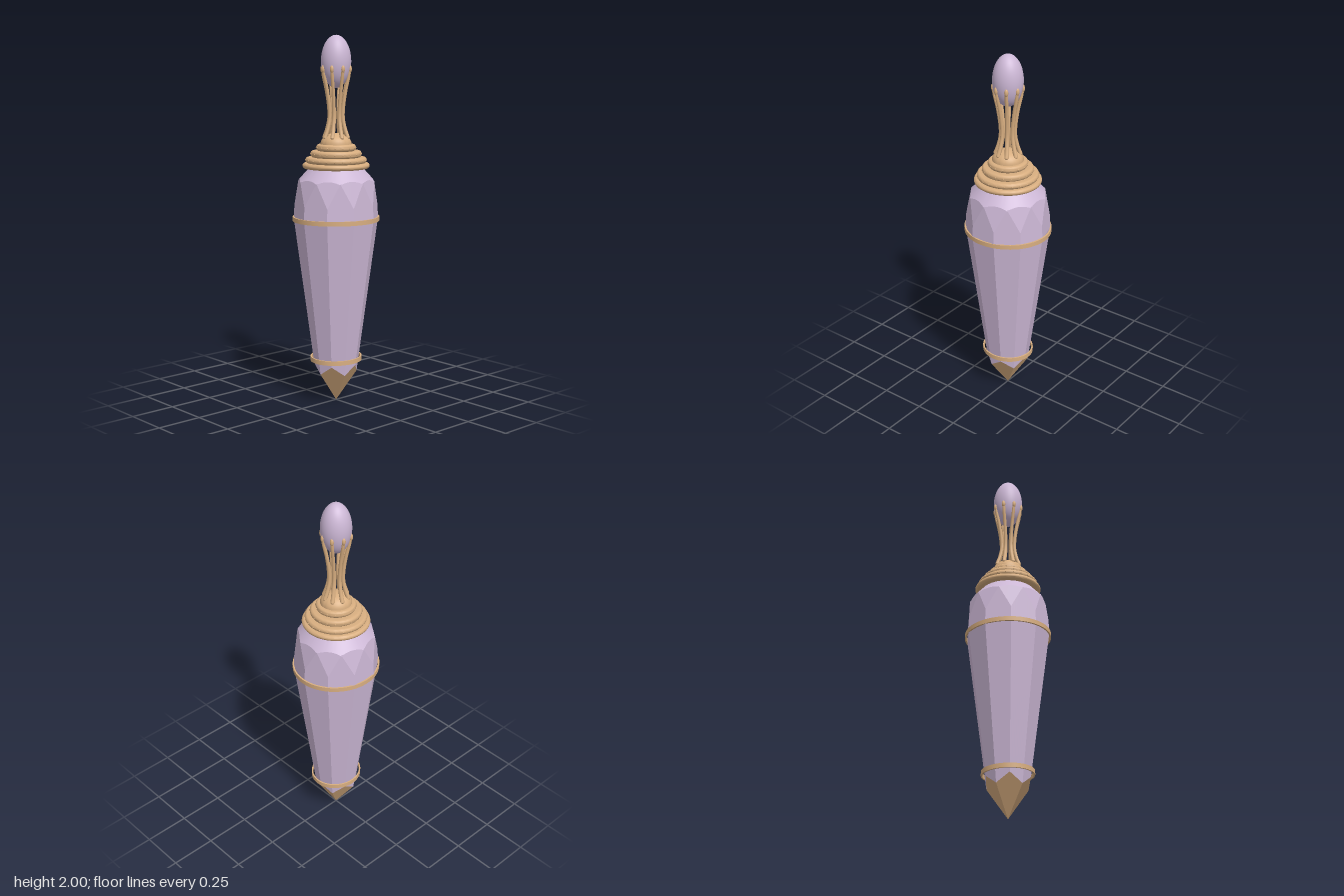
import * as THREE from 'three';
import { toCreasedNormals } from 'three/addons/utils/BufferGeometryUtils.js';

const crystal = new THREE.MeshStandardMaterial({ color: 0xcdb8d6 });
crystal.name = 'lilac crystal';
const gold = new THREE.MeshStandardMaterial({ color: 0xd8ae80 });
gold.name = 'pale gold';

const TAU = Math.PI * 2;

function add(parent, name, geometry, material) {
  const mesh = new THREE.Mesh(geometry, material);
  mesh.name = name;
  parent.add(mesh);
  return mesh;
}

// Radius of a regular polygon with a corner at angle 0 and circumradius 1
function polygon(angle, sides) {
  const step = TAU / sides;
  const a = ((angle % step) + step) % step;
  return Math.cos(step / 2) / Math.cos(a - step / 2);
}

// Skin around the y axis; rowsAt(angle) lists [radius, y] from bottom to top
function skin(rowsAt, segments = 100) {
  const positions = [];
  const index = [];
  let count = 0;
  for (let i = 0; i <= segments; i++) {
    const angle = (i % segments) / segments * TAU;
    const rows = rowsAt(angle);
    count = rows.length;
    for (const [r, y] of rows) positions.push(r * Math.sin(angle), y, r * Math.cos(angle));
  }
  for (let i = 0; i < segments; i++) {
    for (let j = 0; j < count - 1; j++) {
      const a = i * count + j;
      const b = a + count;
      index.push(a, b, b + 1, a, b + 1, a + 1);
    }
  }
  const geometry = new THREE.BufferGeometry();
  geometry.setAttribute('position', new THREE.Float32BufferAttribute(positions, 3));
  geometry.setIndex(index);
  return toCreasedNormals(geometry, 0.14);
}

// Height where the five-sided tip meets the ten-sided body
function tipHeight(angle) {
  const d = polygon(angle, 10);
  return 0.0923 * d / (0.7 * polygon(angle, 5) - 0.135 * d);
}

function tipRows(angle) {
  const y = tipHeight(angle);
  return [[0, 0], [0.7 * y * polygon(angle, 5), y]];
}

// Tapered decagon, then kite facets, then a cone that cuts them into arches
function bodyRows(angle) {
  const d = polygon(angle, 10);
  const c = Math.cos(Math.PI / 10) / polygon(angle + Math.PI / 10, 10);
  const crown = 1 / (Math.cos(Math.PI / 10) / polygon(angle + Math.PI / 10, 10));
  const k = crown / Math.cos(Math.PI / 10) * c * c / (c * c) * Math.cos(Math.PI / 10);
  const q = k / polygon(Math.PI / 10, 10);
  const y0 = tipHeight(angle);
  const t1 = Math.max(0, 0.23 * (q - d) / (0.2 * q - 0.05 * d));
  const t2 = (0.39 - 0.23 * q) / (0.9 - 0.2 * q);
  return [
    [d * (0.0923 + 0.135 * y0), y0],
    [d * 0.23, 1.02],
    [d * (0.23 - 0.05 * t1), 1.02 + t1],
    [q * (0.23 - 0.2 * t2), 1.02 + t2],
    [0.147, 1.29],
  ];
}

// Thin flat band, slightly narrower across x
function band(parent, name, rx, rz, y, thick, height) {
  const profile = [
    [rz - thick, -height / 2], [rz, -height / 2], [rz, height / 2],
    [rz - thick, height / 2], [rz - thick, -height / 2],
  ].map(([r, h]) => new THREE.Vector2(r, h));
  const mesh = add(parent, name, toCreasedNormals(new THREE.LatheGeometry(profile, 64), 0.5), gold);
  mesh.scale.x = rx / rz;
  mesh.position.y = y;
}

// Round tube that follows a curve and narrows toward the end
function taperedTube(curve, radiusAt, steps = 24, sides = 10) {
  const geometry = new THREE.TubeGeometry(curve, steps, 1, sides);
  const p = geometry.attributes.position;
  const n = geometry.attributes.normal;
  for (let i = 0; i < p.count; i++) {
    const t = Math.floor(i / (sides + 1)) / steps;
    const shift = radiusAt(t) - 1;
    p.setXYZ(i, p.getX(i) + n.getX(i) * shift, p.getY(i) + n.getY(i) * shift, p.getZ(i) + n.getZ(i) * shift);
  }
  geometry.computeVertexNormals();
  return geometry;
}

export function createModel() {
  const model = new THREE.Group();
  model.name = 'crystalBottle';

  // Faceted vessel and its pointed foot
  add(model, 'body', skin(bodyRows), crystal);
  add(model, 'tip', skin(tipRows), gold);
  band(model, 'girdleBand', 0.23, 0.239, 1.018, 0.009, 0.024);
  band(model, 'lowerBand', 0.136, 0.146, 0.242, 0.008, 0.024);

  // Stepped cap: each tier is a rounded roll, finished with a small dome
  const tiers = [[0.181, 1.305, 0.015], [0.165, 1.335, 0.016], [0.138, 1.368, 0.018], [0.107, 1.402, 0.018]];
  const profile = [new THREE.Vector2(0, 1.29)];
  for (const [r, y, half] of tiers) {
    for (let i = 0; i <= 8; i++) {
      const a = -Math.PI / 2 + Math.PI * i / 8;
      profile.push(new THREE.Vector2(r - 0.014 + 0.014 * Math.cos(a), y + half * Math.sin(a)));
    }
  }
  for (let i = 0; i <= 10; i++) {
    const a = Math.PI / 2 * i / 10;
    profile.push(new THREE.Vector2(0.084 * Math.cos(a), 1.42 + 0.06 * Math.sin(a)));
  }
  add(model, 'cap', toCreasedNormals(new THREE.LatheGeometry(profile, 64), 0.7), gold);

  // Tiny beads set into the tiers
  const beads = new THREE.Group();
  beads.name = 'capBeads';
  model.add(beads);
  const bead = new THREE.SphereGeometry(0.004, 8, 6);
  tiers.slice(1).forEach(([r, y], tier) => {
    const count = 24 - tier * 4;
    for (let i = 0; i < count; i++) {
      const a = (i + tier / 2) / count * TAU;
      add(beads, 'bead', bead, gold).position.set((r - 0.001) * Math.sin(a), y, (r - 0.001) * Math.cos(a));
    }
  });

  // Eight curved prongs that hold the egg
  const path = new THREE.CatmullRomCurve3(
    [[0.066, 1.455], [0.05, 1.5], [0.038, 1.56], [0.04, 1.62], [0.054, 1.71], [0.07, 1.78], [0.077, 1.83]]
      .map(([r, y]) => new THREE.Vector3(0, y, r)));
  const prongShape = taperedTube(path, (t) => 0.0115 - 0.003 * t);
  const knobShape = new THREE.SphereGeometry(0.0105, 12, 10);
  for (let i = 0; i < 8; i++) {
    const prong = new THREE.Group();
    prong.name = 'prong';
    prong.rotation.y = THREE.MathUtils.degToRad(166 + i * 45);
    add(prong, 'prongStem', prongShape, gold);
    const foot = add(prong, 'prongFoot', knobShape, gold);
    foot.position.set(0, 1.457, 0.066);
    const knob = add(prong, 'prongTip', knobShape, gold);
    knob.position.set(0, 1.82, 0.077);
    knob.scale.y = 2;
    model.add(prong);
  }

  // Crystal egg
  const egg = add(model, 'egg', new THREE.SphereGeometry(0.081, 40, 28), crystal);
  egg.scale.y = 0.14 / 0.081;
  egg.position.y = 1.86;

  return model;
}
